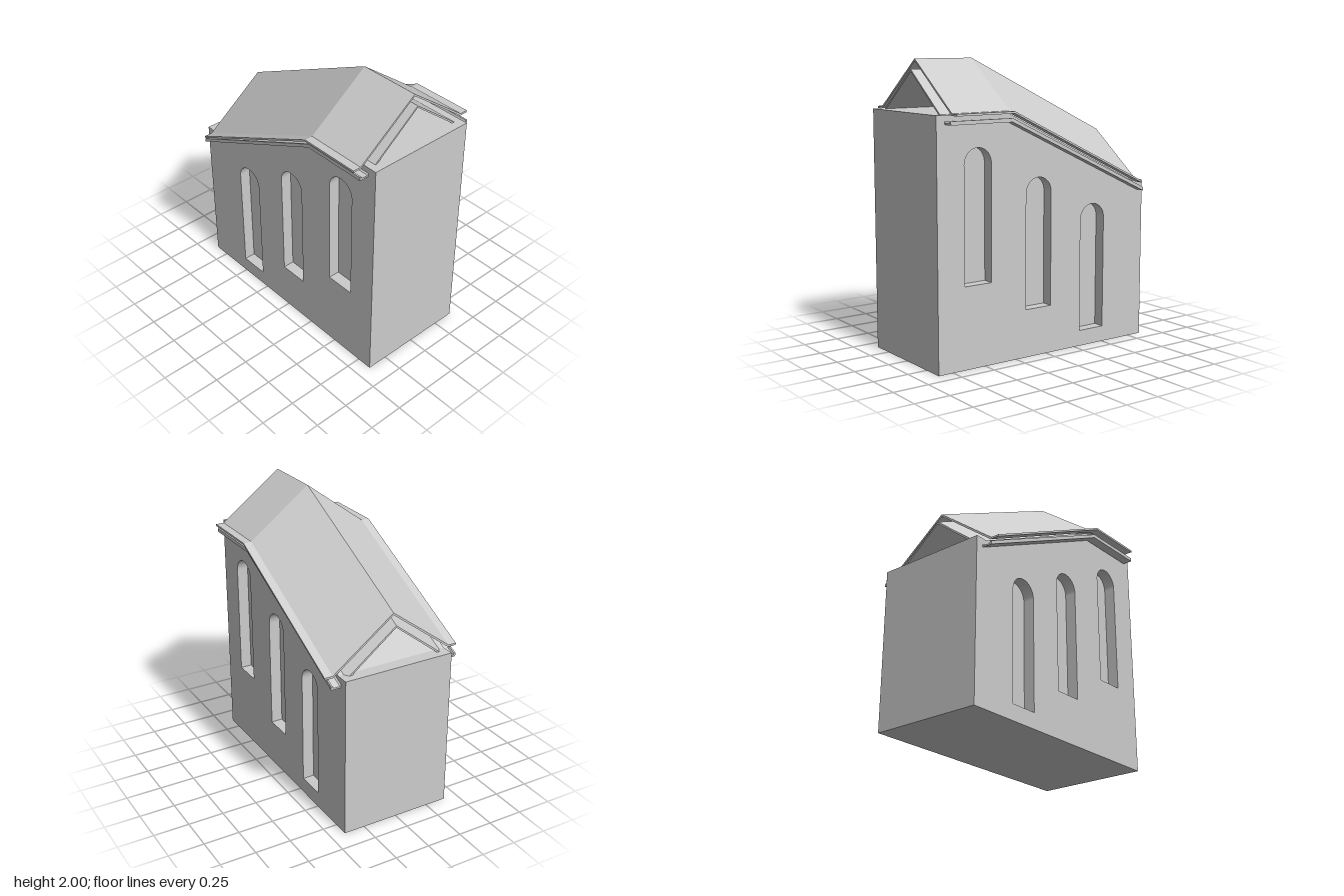
import * as THREE from 'three';

const KNEE = 0.33;          // where the sloping eaves turn level
const RECESS = 0.08;        // depth of the window niches
const HALF_DEPTH = 0.4;
const material = new THREE.MeshStandardMaterial({ color: 0xcccccc });

function mesh(name, geometry) {
  const m = new THREE.Mesh(geometry, material);
  m.name = name;
  return m;
}

// Side elevation of the building: low end, slope, level high end
function sideShape() {
  return new THREE.Shape([
    [-0.86, 0], [0.86, 0], [0.86, 1.66], [KNEE, 1.66], [-0.77, 1.13], [-0.86, 1.13],
  ].map(([x, y]) => new THREE.Vector2(x, y)));
}

// Round-headed opening
function archPath(x, bottom) {
  const r = 0.104, spring = bottom + 0.785;
  const p = new THREE.Path();
  p.moveTo(x - r, bottom);
  p.lineTo(x + r, bottom);
  p.lineTo(x + r, spring);
  p.absarc(x, spring, r, 0, Math.PI, false);
  p.lineTo(x - r, bottom);
  return p;
}

function slab(shape, depth, z) {
  return new THREE.ExtrudeGeometry(shape, { depth, bevelEnabled: false, curveSegments: 16 })
    .translate(0, 0, z);
}

// Gabled sheet: half a cross-section is mirrored, run along x, and sheared down the slope
function roofSheet(name, top, under, x0, x1, slope) {
  const half = [...top, ...under.slice().reverse()];
  const mirrored = [...under, ...top.slice().reverse()]
    .filter(([z]) => z > 0).map(([z, y]) => [-z, y]);
  const shape = new THREE.Shape([...half, ...mirrored].map(([z, y]) => new THREE.Vector2(z, y)));
  const g = new THREE.ExtrudeGeometry(shape, { depth: 2, steps: 2, bevelEnabled: false });
  g.rotateY(Math.PI / 2);
  const stations = [x0, KNEE, x1];
  const pos = g.attributes.position;
  for (let i = 0; i < pos.count; i++) {
    const x = stations[Math.round(pos.getX(i))];
    pos.setX(i, x);
    pos.setY(i, pos.getY(i) - slope * Math.max(0, KNEE - x));
  }
  g.computeVertexNormals();
  return mesh(name, g);
}

export function createModel() {
  const model = new THREE.Group();
  model.name = 'slopedHall';

  // Solid core, whose faces form the backs of the niches
  const inner = HALF_DEPTH - RECESS;
  model.add(mesh('core', slab(sideShape(), inner * 2, -inner)));

  // Front and back walls with three stepped arched niches
  const wall = sideShape();
  for (const [x, y] of [[-0.4, 0.11], [0.065, 0.33], [0.552, 0.555]]) wall.holes.push(archPath(x, y));
  model.add(mesh('frontWall', slab(wall, RECESS, inner)));
  model.add(mesh('backWall', slab(wall, RECESS, -HALF_DEPTH)));

  // Outer roof with flared eaves
  model.add(roofSheet('outerRoof',
    [[0, 2], [0.44, 1.67], [0.498, 1.67]],
    [[0, 1.985], [0.436, 1.656], [0.498, 1.656]],
    -0.77, 0.77, 0.482));

  // Under-roof with a small upturned gutter lip
  model.add(roofSheet('underRoof',
    [[0, 1.932], [0.41, 1.612], [0.455, 1.612], [0.461, 1.625], [0.472, 1.625]],
    [[0, 1.918], [0.405, 1.6], [0.472, 1.6]],
    -0.805, 0.8, 0.472));

  return model;
}
